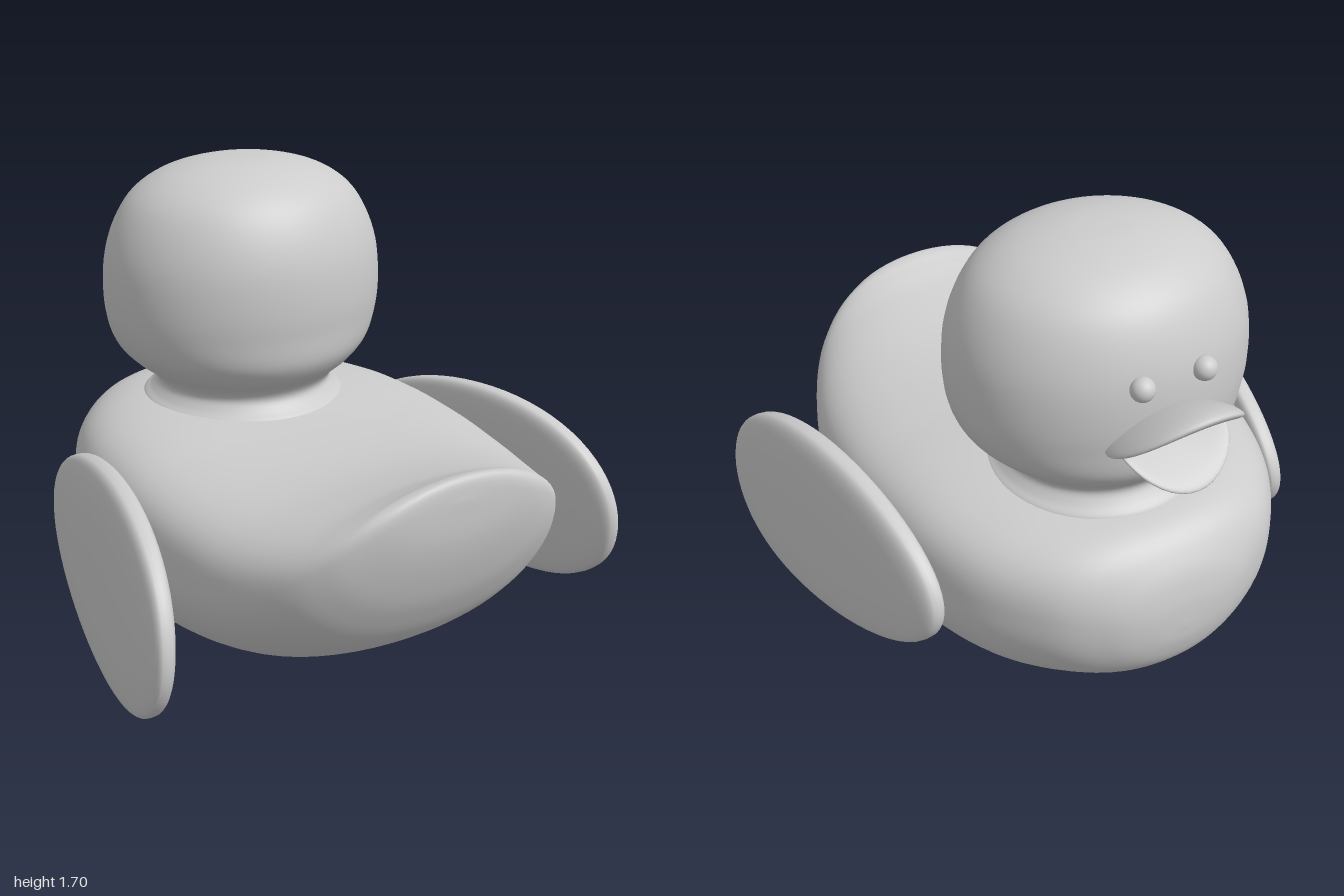
import * as THREE from 'three';
import { mergeVertices } from 'three/addons/utils/BufferGeometryUtils.js';

const grey = new THREE.MeshStandardMaterial({ color: 0xcccccc });
grey.name = 'plain grey';

// Smooth skin over f(u, v) -> [x, y, z], turned so its faces point outwards
function skin(f, nu, nv) {
  const pos = [], idx = [];
  for (let j = 0; j <= nv; j++) {
    for (let i = 0; i <= nu; i++) pos.push(...f((i % nu) / nu, j / nv));
  }
  for (let j = 0; j < nv; j++) {
    for (let i = 0; i < nu; i++) {
      const a = j * (nu + 1) + i, b = a + 1, c = a + nu + 1, d = c + 1;
      idx.push(a, b, d, a, d, c);
    }
  }
  const at = (i) => new THREE.Vector3().fromArray(pos, i * 3);
  let volume = 0;
  for (let i = 0; i < idx.length; i += 3) {
    volume += at(idx[i]).dot(at(idx[i + 1]).cross(at(idx[i + 2])));
  }
  if (volume < 0) idx.reverse();
  let geo = new THREE.BufferGeometry();
  geo.setAttribute('position', new THREE.Float32BufferAttribute(pos, 3));
  geo.setIndex(idx);
  geo = mergeVertices(geo, 1e-5);
  geo.computeVertexNormals();
  return geo;
}

function part(name, geo, parent) {
  const mesh = new THREE.Mesh(geo, grey);
  mesh.name = name;
  parent.add(mesh);
  return mesh;
}

const spow = (v, e) => Math.sign(v) * Math.pow(Math.abs(v), e);
const spline = (pts) => new THREE.CatmullRomCurve3(
  pts.map((p) => new THREE.Vector3(...p)), false, 'catmullrom', 0.5);

// Body: sections along z with half width, bottom, top and squareness of the back
function bodyGeometry() {
  const rows = [
    [-0.95, 0, 0.46, 0.46, 2.3], [-0.94, 0.15, 0.37, 0.58, 2.3],
    [-0.9, 0.285, 0.27, 0.69, 2.4], [-0.8, 0.445, 0.175, 0.785, 2.7],
    [-0.6, 0.6, 0.08, 0.815, 3.2], [-0.35, 0.69, 0.02, 0.822, 3.8],
    [-0.1, 0.72, 0.003, 0.817, 4], [0.15, 0.725, 0.025, 0.8, 3.9],
    [0.4, 0.7, 0.08, 0.797, 3.3], [0.6, 0.65, 0.155, 0.815, 2.7],
    [0.8, 0.555, 0.29, 0.86, 2.2], [0.9, 0.465, 0.435, 0.9, 2],
    [0.955, 0.365, 0.57, 0.925, 2], [0.99, 0.23, 0.71, 0.92, 2],
    [1, 0, 0.85, 0.85, 2],
  ];
  const outer = spline(rows.map((r) => [r[0], r[1], r[3]]));
  const lower = spline(rows.map((r) => [r[2], r[4], 0]));
  return skin((u, v) => {
    const o = outer.getPoint(v), l = lower.getPoint(v);
    const mid = l.x + 0.57 * (o.z - l.x);
    const c = Math.cos(u * Math.PI * 2), s = Math.sin(u * Math.PI * 2);
    const n = s > 0 ? l.y : 2.1;
    const h = s > 0 ? o.z - mid : mid - l.x;
    return [o.y * spow(c, 2 / n), mid + h * spow(s, 2 / n), o.x];
  }, 72, 80);
}

// Head and neck: turned profile, narrower front to back above the neck
function headGeometry() {
  const profile = spline([
    [0.39, 0.76, 0], [0.38, 0.805, 0], [0.35, 0.832, 0], [0.327, 0.87, 0],
    [0.352, 0.912, 0], [0.42, 0.965, 0], [0.482, 1.035, 0], [0.518, 1.13, 0],
    [0.527, 1.25, 0], [0.513, 1.38, 0], [0.468, 1.5, 0], [0.4, 1.59, 0],
    [0.29, 1.655, 0], [0.14, 1.692, 0], [0, 1.7, 0],
  ]);
  return skin((u, v) => {
    const p = profile.getPoint(v), a = u * Math.PI * 2;
    const depth = 1 - 0.133 * THREE.MathUtils.smoothstep(p.y, 0.87, 1.15);
    return [p.x * Math.cos(a), p.y, -0.35 + p.x * depth * Math.sin(a)];
  }, 64, 64);
}

// Wing: flat egg-shaped pad with a rounded rim, splayed out towards the tail
function wingGeometry(side) {
  return skin((u, v) => {
    const a = u * Math.PI * 2, face = v * Math.PI;
    const rho = Math.pow(Math.sin(face), 0.7);
    const c = Math.cos(a), s = Math.sin(a);
    const z = 0.11 + rho * (0.63 * c + 0.1 * s * s);
    const y = 0.455 + rho * (0.355 * s - 0.03 * c) - 0.01 * rho;
    const x = 0.815 + 0.172 * (z - 0.11) - 0.085 * (y - 0.45);
    return [side * (x + 0.066 * spow(Math.cos(face), 0.6)), y, z];
  }, 64, 32);
}

// Bill half: flattened ball, sloped along z and bent across x
function billGeometry(w, h, len, y0, z0, slope, bend) {
  const geo = new THREE.SphereGeometry(1, 40, 28);
  const p = geo.attributes.position;
  for (let i = 0; i < p.count; i++) {
    const x = p.getX(i), z = p.getZ(i) * len;
    p.setXYZ(i, x * w, y0 + p.getY(i) * h - z * slope + bend * x * x, z0 + z);
  }
  geo.computeVertexNormals();
  return geo;
}

export function createModel() {
  const duck = new THREE.Group();
  duck.name = 'bathDuck';
  part('body', bodyGeometry(), duck);
  part('head', headGeometry(), duck);
  part('upperBill', billGeometry(0.23, 0.045, 0.19, 1.24, -0.81, 0.48, -0.075), duck);
  part('lowerBill', billGeometry(0.2, 0.032, 0.17, 1.115, -0.79, -0.42, 0.055), duck);

  // Mirrored wings and eyes
  for (const side of [1, -1]) {
    const label = side > 0 ? 'left' : 'right';
    part(label + 'Wing', wingGeometry(side), duck);
    const eye = part(label + 'Eye', new THREE.SphereGeometry(0.041, 24, 16), duck);
    eye.position.set(side * 0.115, 1.37, -0.795);
  }
  return duck;
}
